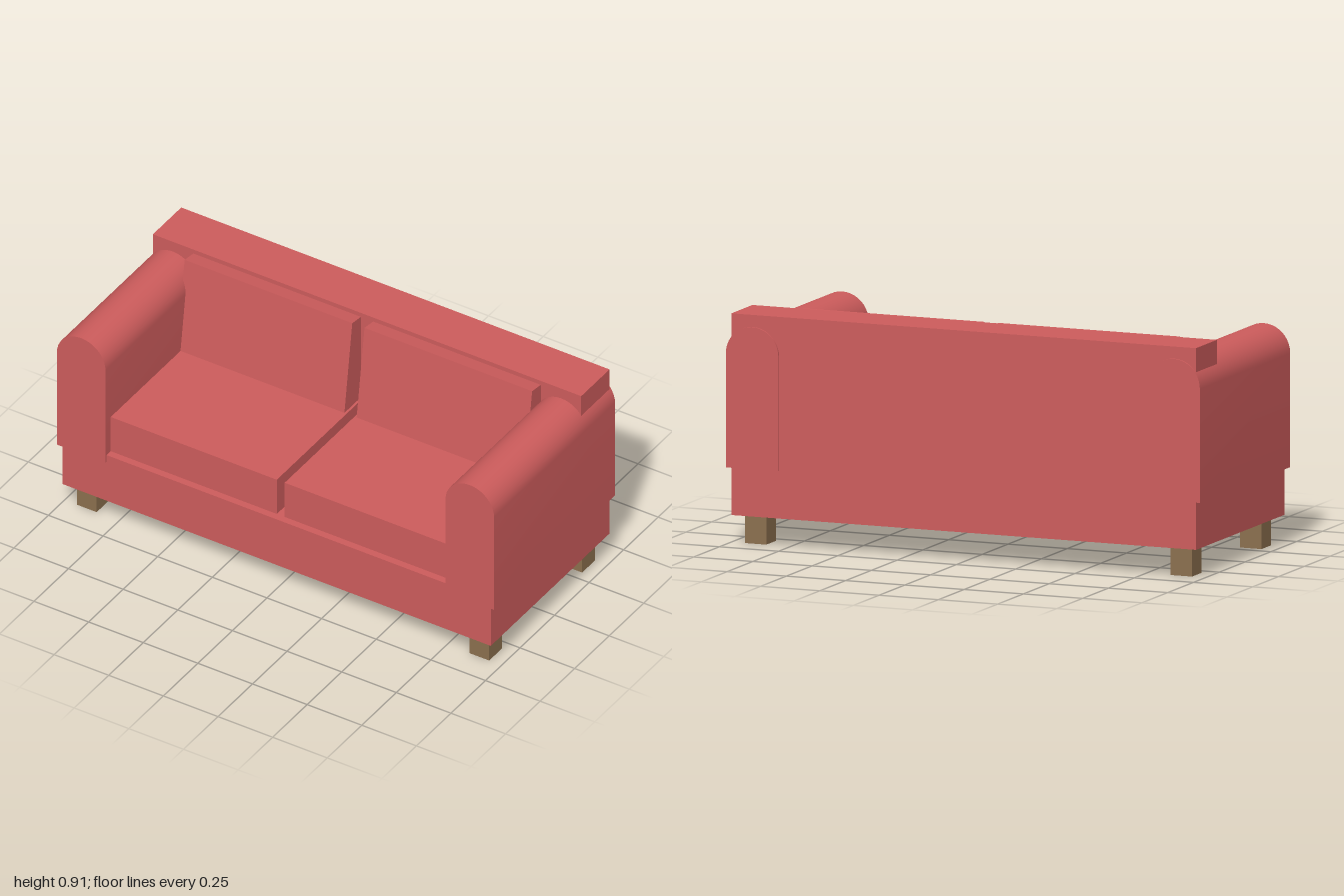
import * as THREE from 'three';
import { toCreasedNormals } from 'three/addons/utils/BufferGeometryUtils.js';

export function createModel() {
  const sofa = new THREE.Group();
  sofa.name = 'sofa';

  const fabric = new THREE.MeshStandardMaterial({ color: 0xcd5c5c });
  fabric.name = 'red fabric';
  const wood = new THREE.MeshStandardMaterial({ color: 0x8b6f4e });
  wood.name = 'brown wood';

  function add(name, geometry, material) {
    const mesh = new THREE.Mesh(geometry, material);
    mesh.name = name;
    sofa.add(mesh);
    return mesh;
  }

  // Box given by its limits on each axis
  function addBox(name, [x0, x1], [y0, y1], [z0, z1], material) {
    const mesh = add(name, new THREE.BoxGeometry(x1 - x0, y1 - y0, z1 - z0), material);
    mesh.position.set((x0 + x1) / 2, (y0 + y1) / 2, (z0 + z1) / 2);
    return mesh;
  }

  // Frame
  addBox('base', [-0.98, 0.98], [0.115, 0.335], [-0.43, 0.43], fabric);
  addBox('backrest', [-0.98, 0.98], [0.335, 0.907], [-0.43, -0.225], fabric);

  // Round-topped arm profile, extruded front to back
  const radius = 0.111, armDepth = 0.876;
  const profile = new THREE.Shape();
  profile.moveTo(-radius, 0.302);
  profile.lineTo(radius, 0.302);
  profile.lineTo(radius, 0.749);
  profile.absarc(0, 0.749, radius, 0, Math.PI, false);
  profile.closePath();
  const armGeometry = toCreasedNormals(
    new THREE.ExtrudeGeometry(profile, { depth: armDepth, bevelEnabled: false, curveSegments: 10 })
      .translate(0, 0, -armDepth / 2), 0.6);

  for (const side of [-1, 1]) {
    const label = side > 0 ? 'left' : 'right';

    add(label + 'Arm', armGeometry, fabric).position.x = side * (1 - radius);

    // Seat cushion, its outer end tucked into the arm
    const seat = addBox(label + 'SeatCushion', [0.018, 0.79], [0.335, 0.5], [-0.23, 0.4], fabric);
    seat.position.x *= side;

    // Back cushion, leaning back about its top front edge
    const width = 0.767, height = 0.45, thickness = 0.15;
    const cushion = add(label + 'BackCushion',
      new THREE.BoxGeometry(width, height, thickness).translate(0, -height / 2, -thickness / 2), fabric);
    cushion.position.set(side * (0.028 + width / 2), 0.897, -0.162);
    cushion.rotation.x = -0.142;

    // Front and back legs
    for (const end of [1, -1]) {
      const leg = addBox(label + (end > 0 ? 'FrontLeg' : 'BackLeg'),
        [0.853, 0.943], [0, 0.115], [0.29, 0.383], wood);
      leg.position.x *= side;
      leg.position.z *= end;
    }
  }

  return sofa;
}
